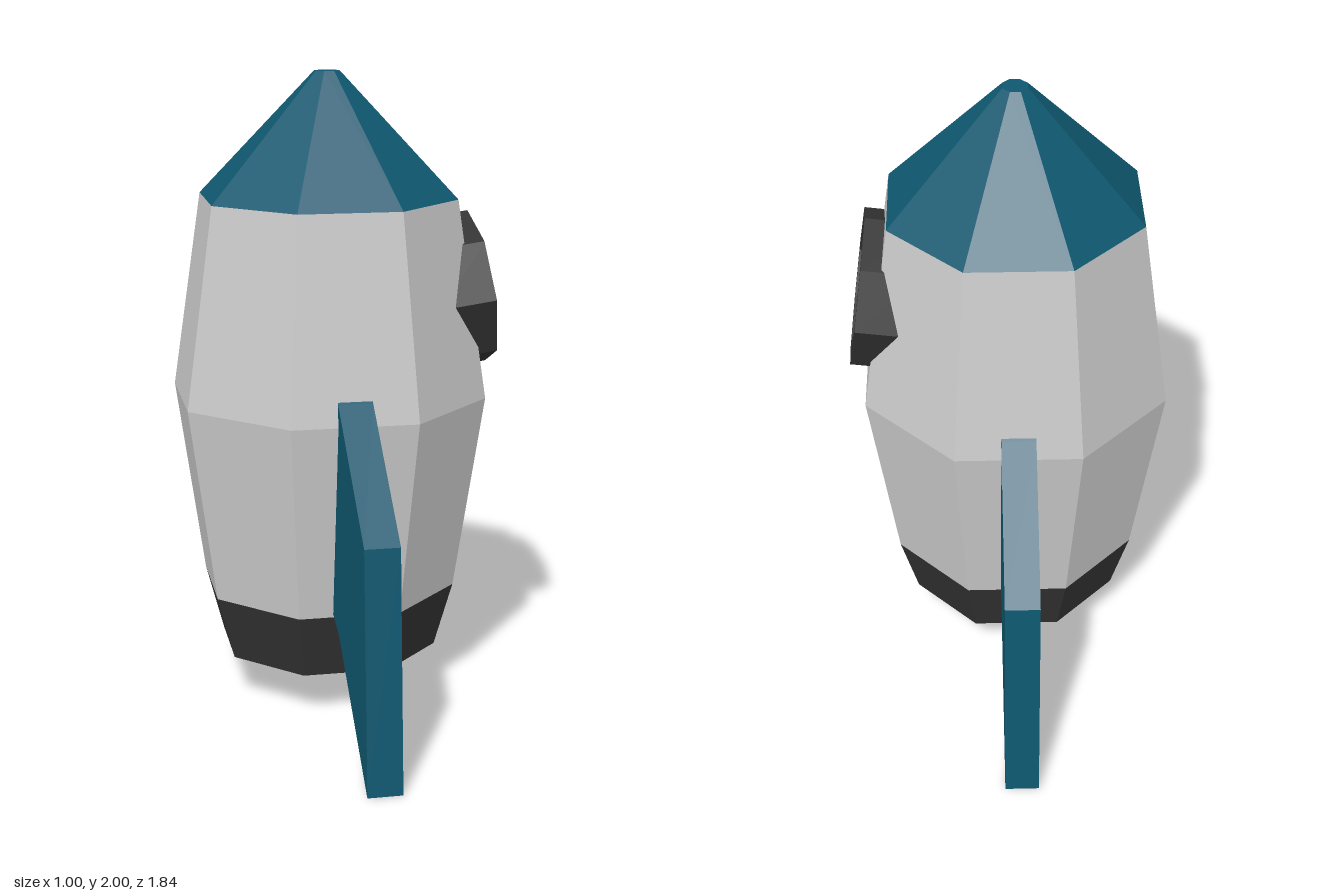
import * as THREE from 'three';

const mat = (color) => new THREE.MeshStandardMaterial({ color, flatShading: true });

export function createModel() {
  const model = new THREE.Group();
  model.name = 'rocket';
  const grey = mat(0xcccccc), dark = mat(0x333333), teal = mat(0x0f5870), blue = mat(0x80c0d2);

  const add = (parent, name, geometry, material) => {
    const mesh = new THREE.Mesh(geometry, material);
    mesh.name = name;
    parent.add(mesh);
    return mesh;
  };
  // Eight-sided turned form from [radius, height] pairs
  const octagon = (profile, start = 0) => new THREE.LatheGeometry(
    profile.map(([r, y]) => new THREE.Vector2(r, y)), 8, start);
  // Same, with radii measured to the flats and a flat facing each axis
  const flats = (profile) => octagon(
    profile.map(([r, y]) => [r / Math.cos(Math.PI / 8), y]), Math.PI / 8);

  const rocket = new THREE.Group();
  rocket.name = 'hull';
  rocket.position.x = -0.027;
  model.add(rocket);

  // Hull: recessed nozzle, bulging body, blunt nose
  add(rocket, 'nozzle', flats([[0, 0.21], [0.285, 0.21], [0.295, 0.14], [0.33, 0.14], [0.385, 0.35]]), dark);
  add(rocket, 'body', flats([[0.385, 0.35], [0.473, 0.98], [0.385, 1.61]]), grey);
  add(rocket, 'noseCone', flats([[0.385, 1.61], [0.038, 2], [0, 2]]), teal);

  // Fins at front and back
  const outline = [[0.36, 0.37], [0.39, 0.36], [0.48, 0.33], [0.92, 0], [0.86, 0.73], [0.47, 1.05], [0.42, 1.09]];
  const finShape = new THREE.Shape(outline.map(([z, y]) => new THREE.Vector2(z, y)));
  const finGeometry = new THREE.ExtrudeGeometry(finShape, { depth: 0.106, bevelEnabled: false });
  finGeometry.translate(0, 0, -0.053);
  for (const [name, side] of [['frontFin', -1], ['backFin', 1]]) {
    add(rocket, name, finGeometry, teal).rotation.y = side * Math.PI / 2;
  }

  // Porthole on the left, tilted to follow the hull
  const porthole = new THREE.Group();
  porthole.name = 'porthole';
  porthole.position.set(0.463, 1.305, 0);
  porthole.rotation.z = -Math.PI / 2 + 0.137;
  model.add(porthole);
  add(porthole, 'portholeFrame', octagon([[0.25, -0.18], [0.25, 0], [0.2, 0], [0.195, -0.03]]), dark);
  add(porthole, 'portholeGlass', octagon([[0.197, -0.03], [0, -0.03]]), blue);

  return model;
}
